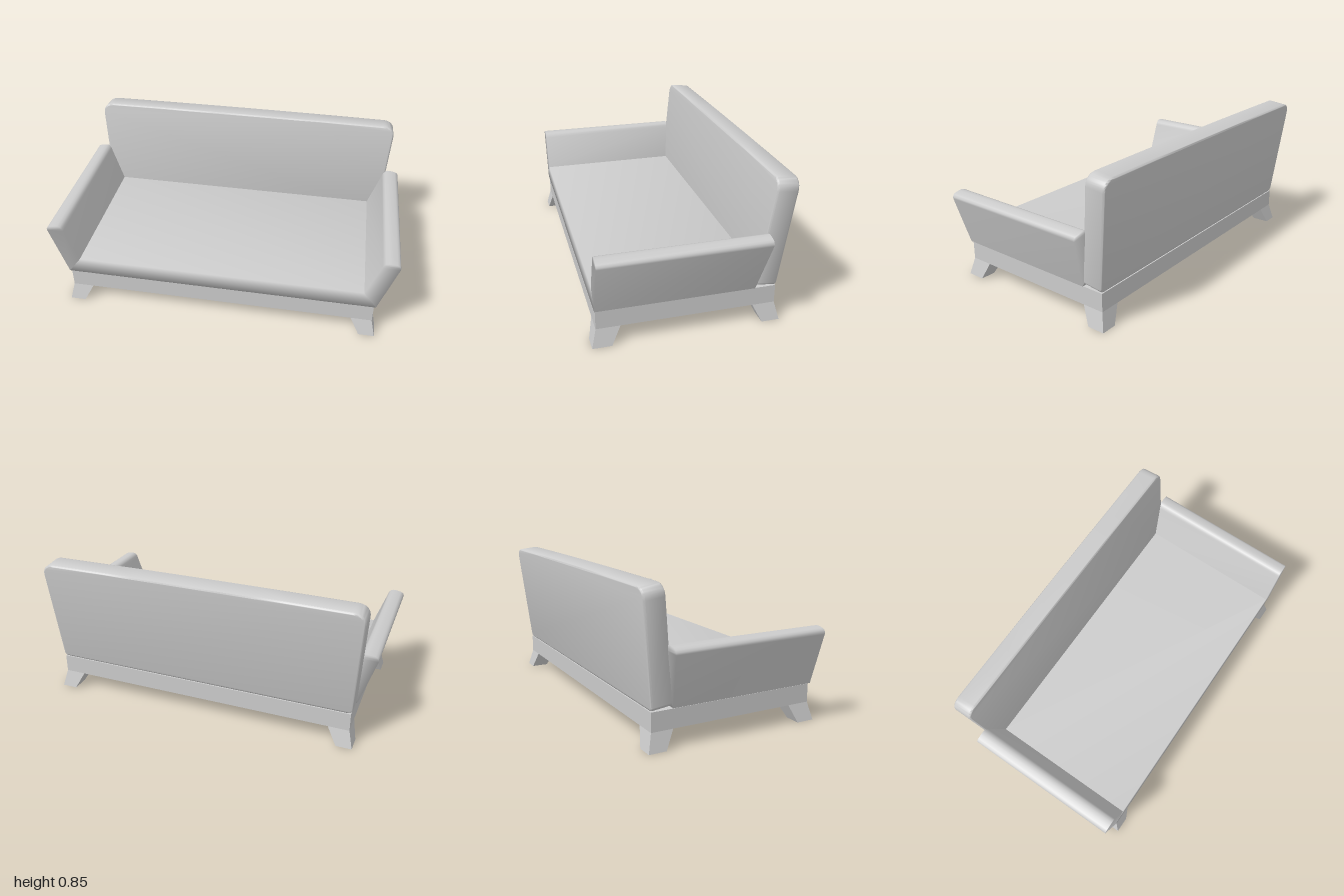
import * as THREE from 'three';
import { mergeVertices, toCreasedNormals } from 'three/addons/utils/BufferGeometryUtils.js';

const material = new THREE.MeshStandardMaterial({ color: 0xcccccc });
const softMaterial = new THREE.MeshStandardMaterial({ color: 0xcccccc, side: THREE.DoubleSide });

function addMesh(group, name, geometry, mat = material) {
  const mesh = new THREE.Mesh(geometry, mat);
  mesh.name = name;
  group.add(mesh);
  return mesh;
}

// Upholstered slab lofted through sections [innerX, innerY, outerX, outerY];
// its back end leans with the backrest.
const frontZ = 0.52;
const backZ = (y) => Math.max(-0.388, -0.345 - (y - 0.21) * 0.143);

function loftSlab(sections) {
  const positions = [];
  const index = [];
  sections.forEach(([ix, iy, ox, oy], i) => {
    positions.push(ix, iy, frontZ, ox, oy, frontZ, ox, oy, backZ(oy), ix, iy, backZ(iy));
    if (i === 0) return;
    const a = (i - 1) * 4;
    const b = i * 4;
    for (let k = 0; k < 4; k++) {
      const n = (k + 1) % 4;
      index.push(a + k, a + n, b + n, a + k, b + n, b + k);
    }
  });
  let geometry = new THREE.BufferGeometry();
  geometry.setAttribute('position', new THREE.Float32BufferAttribute(positions, 3));
  geometry.setIndex(index);
  geometry = mergeVertices(geometry);
  geometry.computeVertexNormals();
  return geometry;
}

// Splayed, tapered leg: a box whose corners are moved to the leg's outline.
function legGeometry(sideX, front) {
  const zs = front
    ? { top: [0.515, 0.385], foot: [0.54, 0.435] }
    : { top: [-0.465, -0.34], foot: [-0.49, -0.39] };
  const xs = { top: [0.895, 0.775], foot: [0.92, 0.83] };
  const geometry = new THREE.BoxGeometry(1, 1, 1);
  const p = geometry.attributes.position;
  for (let i = 0; i < p.count; i++) {
    const level = p.getY(i) > 0 ? 'top' : 'foot';
    const innerX = p.getX(i) * sideX > 0 ? 0 : 1;
    const innerZ = p.getZ(i) > 0 === front ? 0 : 1;
    p.setXYZ(i, sideX * xs[level][innerX], level === 'top' ? 0.1 : 0, zs[level][innerZ]);
  }
  geometry.computeVertexNormals();
  return geometry;
}

// Backrest panel: widens upward, rounded top corners, softly bevelled edges.
function backrestGeometry() {
  const bevel = 0.01;
  const height = 0.632 - bevel;
  const shape = new THREE.Shape();
  shape.moveTo(-0.875, bevel);
  shape.lineTo(0.875, bevel);
  shape.quadraticCurveTo(0.893, bevel, 0.894, 0.03);
  shape.lineTo(0.928, height - 0.06);
  shape.quadraticCurveTo(0.928, height - 0.007, 0.87, height - 0.005);
  shape.quadraticCurveTo(0, height + 0.004, -0.87, height - 0.005);
  shape.quadraticCurveTo(-0.928, height - 0.007, -0.928, height - 0.06);
  shape.lineTo(-0.894, 0.03);
  shape.quadraticCurveTo(-0.893, bevel, -0.875, bevel);
  const geometry = new THREE.ExtrudeGeometry(shape, {
    depth: 0.1, bevelEnabled: true, bevelSize: bevel, bevelThickness: bevel,
    bevelSegments: 4, curveSegments: 10,
  });
  geometry.translate(0, 0, -0.05);
  return toCreasedNormals(geometry, 0.8);
}

export function createModel() {
  const group = new THREE.Group();
  group.name = 'sofa';

  // Plinth and legs
  const base = addMesh(group, 'baseFrame', new THREE.BoxGeometry(1.79, 0.105, 0.98));
  base.position.set(0, 0.1525, 0.025);
  for (const sideX of [1, -1]) {
    for (const front of [true, false]) {
      const name = (front ? 'front' : 'back') + (sideX > 0 ? 'Left' : 'Right') + 'Leg';
      addMesh(group, name, legGeometry(sideX, front));
    }
  }

  // Seat, mitred at both ends against the arms
  const mitre = [0.83, 0.31, 0.905, 0.21];
  const mirror = ([ix, iy, ox, oy]) => [-ix, iy, -ox, oy];
  addMesh(group, 'seat', loftSlab([mirror(mitre), mitre]), softMaterial);

  // Flared arms with rounded tops
  const arm = [
    mitre,
    [0.903, 0.51, 0.999, 0.505],
    [0.908, 0.525, 1.0, 0.517],
    [0.918, 0.537, 0.993, 0.529],
    [0.935, 0.543, 0.98, 0.536],
    [0.957, 0.541, 0.957, 0.541],
  ];
  addMesh(group, 'leftArm', loftSlab(arm), softMaterial);
  addMesh(group, 'rightArm', loftSlab(arm.map(mirror).reverse()), softMaterial);

  // Reclined backrest
  const backrest = addMesh(group, 'backrest', backrestGeometry());
  backrest.position.set(0, 0.212, -0.405);
  backrest.rotation.x = -0.112;

  return group;
}
